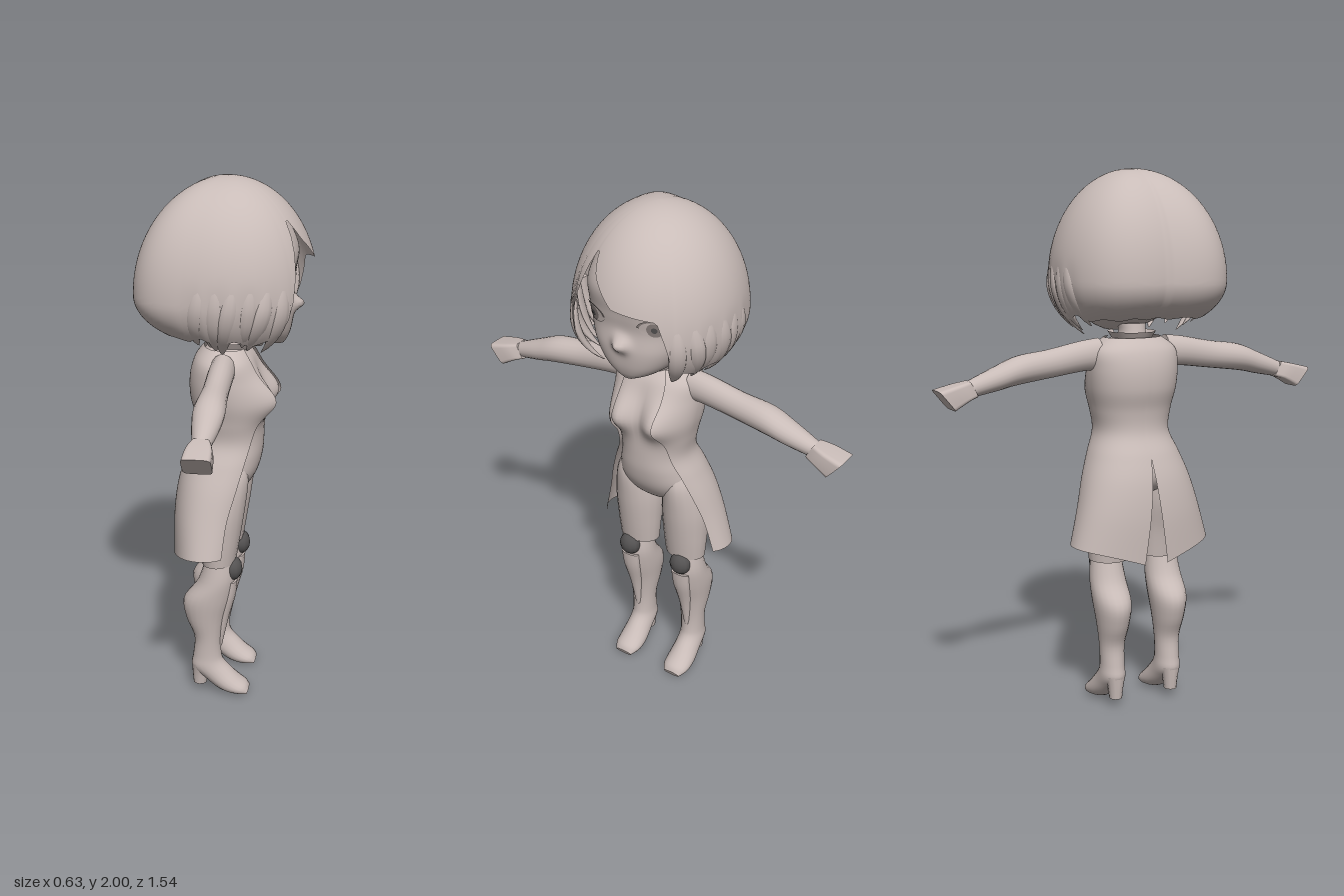
import * as THREE from 'three';

const skin = new THREE.MeshStandardMaterial({ color: 0xc9bcb8, side: THREE.DoubleSide });
skin.name = 'warm grey';
const dark = new THREE.MeshStandardMaterial({ color: 0x555353 });
dark.name = 'dark joint';
const iris = new THREE.MeshStandardMaterial({ color: 0x8a807d, side: THREE.DoubleSide });
iris.name = 'eye grey';

const { PI, sin, cos, abs, pow, sign, acos, exp, min, max } = Math;

// Smooth sampling of a table of rows, t from 0 to 1
function sample(rows, t) {
  const x = t * (rows.length - 1), i = min(Math.floor(x), rows.length - 2), f = x - i;
  const at = (k) => rows[max(0, min(rows.length - 1, k))];
  return at(i).map((b, c) => {
    const a = at(i - 1)[c], d = at(i + 1)[c], e = at(i + 2)[c];
    return b + 0.5 * f * (d - a + f * (2 * a - 5 * b + 4 * d - e + f * (3 * (b - d) + e - a)));
  });
}

// Straight-line lookup in [key, value] pairs
function lookup(table, x) {
  let i = 0;
  while (i < table.length - 2 && x > table[i + 1][0]) i++;
  const [a, b] = [table[i], table[i + 1]];
  return a[1] + (b[1] - a[1]) * (x - a[0]) / (b[0] - a[0]);
}

// Grid surface from fn(u, v); may wrap round in u and have end caps
function surface(fn, nu, nv, closed = true, caps = closed) {
  const pos = [], idx = [], w = closed ? nu : nu + 1;
  for (let j = 0; j <= nv; j++) for (let i = 0; i < w; i++) pos.push(...fn(i / nu, j / nv));
  for (let j = 0; j < nv; j++) for (let i = 0; i < nu; i++) {
    const a = j * w + i, b = j * w + (i + 1) % w, c = a + w, d = b + w;
    idx.push(a, b, c, b, d, c);
  }
  if (caps) for (const j of [0, nv]) {
    const base = pos.length / 3, mid = [0, 0, 0];
    for (let i = 0; i < nu; i++) for (let k = 0; k < 3; k++) {
      const p = pos[(j * w + i) * 3 + k];
      pos.push(p);
      mid[k] += p / nu;
    }
    pos.push(...mid);
    for (let i = 0; i < nu; i++) {
      const a = base + i, b = base + (i + 1) % nu;
      idx.push(...(j ? [a, b, base + nu] : [b, a, base + nu]));
    }
  }
  // Turn faces outward, judged by the signed volume about the centre
  const P = (i) => new THREE.Vector3().fromArray(pos, i * 3), c = new THREE.Vector3();
  for (let i = 0; i < pos.length / 3; i++) c.addScaledVector(P(i), 3 / pos.length);
  let vol = 0;
  for (let k = 0; k < idx.length; k += 3) {
    const [p, q, r] = [0, 1, 2].map((n) => P(idx[k + n]).sub(c));
    vol += p.dot(q.cross(r));
  }
  if (vol < 0) idx.reverse();
  const g = new THREE.BufferGeometry();
  g.setAttribute('position', new THREE.Float32BufferAttribute(pos, 3));
  g.setIndex(idx);
  g.computeVertexNormals();
  return g;
}

// Point on an upright body section: angle 0 faces front, row = y, half width, front z, back z
function section([y, rx, zf, zb], a, n) {
  const s = sin(a), c = cos(a), zc = (zf + zb) / 2, rz = (zf - zb) / 2;
  return [rx * sign(s) * pow(abs(s), 2 / n), y, zc + rz * sign(c) * pow(abs(c), 2 / n)];
}

// Soft forward swellings of the chest and the nose
const swell = (x, y, wx, wy) => exp(-pow(x / wx, 2) - pow(y / wy, 2));
const chest = ([x, y, z]) =>
  [x, y, z + (z > 0 ? 0.066 * swell(abs(x) - 0.085, y - 1.2, 0.065, y > 1.2 ? 0.09 : 0.065) : 0)];
const nose = ([x, y, z]) => [x, y, z + (z > 0.1 ? 0.04 * swell(x, y - 1.553, 0.03, 0.026) : 0)];
const body = (rows, n, nu, nv, shape) =>
  surface((u, v) => shape(section(sample(rows, v), u * 2 * PI, n)), nu, nv);

// Limb through rows of two opposite edge points (a,b)-(c,d) and a half width
const limb = (rows, map, nu = 20, nv = 30) => surface((u, v) => {
  const [a, b, c, d, h] = sample(rows, v), k = 0.5 + 0.5 * cos(u * 2 * PI);
  return map(c + (a - c) * k, d + (b - d) * k, h * sin(u * 2 * PI));
}, nu, nv);

const HEAD = [[1.405, 0.03, 0.205, 0.1], [1.43, 0.09, 0.22, 0], [1.47, 0.14, 0.232, -0.08],
  [1.53, 0.18, 0.238, -0.14], [1.6, 0.205, 0.232, -0.18], [1.66, 0.215, 0.24, -0.2],
  [1.75, 0.21, 0.25, -0.2], [1.85, 0.165, 0.2, -0.17], [1.93, 0.08, 0.1, -0.08]];
const TORSO = [[1.44, 0.05, 0.05, -0.05], [1.395, 0.055, 0.055, -0.06], [1.375, 0.12, 0.07, -0.08],
  [1.34, 0.155, 0.095, -0.11], [1.28, 0.162, 0.112, -0.13], [1.2, 0.158, 0.13, -0.13],
  [1.12, 0.142, 0.135, -0.11], [1.04, 0.132, 0.135, -0.11], [0.97, 0.148, 0.13, -0.14],
  [0.9, 0.162, 0.11, -0.165], [0.84, 0.13, 0.07, -0.14], [0.8, 0.05, 0.02, -0.06]];
// y, half width, front z, back z, front edge angle, gap at the back
const COAT = [[1.39, 0.11, 0.078, -0.085, 0.6, 0], [1.345, 0.165, 0.103, -0.12, 0.5, 0],
  [1.28, 0.173, 0.12, -0.138, 0.5, 0], [1.2, 0.168, 0.138, -0.138, 0.5, 0],
  [1.12, 0.152, 0.145, -0.12, 0.7, 0], [1.04, 0.143, 0.145, -0.12, 0.9, 0],
  [0.96, 0.174, 0.14, -0.155, 1.0, 0], [0.87, 0.208, 0.125, -0.185, 1.05, 0.03],
  [0.76, 0.24, 0.1, -0.2, 1.1, 0.08], [0.63, 0.276, 0.08, -0.2, 1.1, 0.14]];
const ARM = [[0.14, 1.39, 0.13, 1.27, 0.045], [0.22, 1.38, 0.2, 1.27, 0.046],
  [0.34, 1.357, 0.32, 1.255, 0.046], [0.46, 1.34, 0.47, 1.235, 0.055], [0.55, 1.305, 0.54, 1.22, 0.048],
  [0.65, 1.262, 0.62, 1.205, 0.032]];
const HAND = [[0.65, 1.262, 0.62, 1.205, 0.031], [0.7, 1.252, 0.655, 1.193, 0.045], [0.77, 1.235, 0.71, 1.162, 0.05]];
const THIGH = [[0.07, 0.97, -0.11, 0.97, 0.035], [0.09, 0.9, -0.14, 0.9, 0.072], [0.078, 0.78, -0.13, 0.78, 0.092],
  [0.06, 0.66, -0.1, 0.66, 0.088], [0.045, 0.565, -0.085, 0.555, 0.08]];
const SHIN = [[0.04, 0.57, -0.07, 0.57, 0.058], [0.045, 0.5, -0.1, 0.48, 0.068],
  [0.032, 0.42, -0.155, 0.4, 0.07], [0.005, 0.33, -0.145, 0.32, 0.06], [-0.01, 0.24, -0.115, 0.24, 0.048],
  [-0.01, 0.17, -0.12, 0.16, 0.045], [0, 0.135, -0.125, 0.11, 0.048], [0.03, 0.1, -0.085, 0.07, 0.05],
  [0.06, 0.07, -0.02, 0.02, 0.055], [0.09, 0.045, 0.035, 0.004, 0.052], [0.1, 0.025, 0.09, 0.002, 0.036]];
const HEM = [[-PI, 1.465], [-2.2, 1.46], [-0.85, 1.44], [-0.72, 1.52], [-0.62, 1.68], [-0.46, 1.88],
  [-0.3, 1.8], [0.03, 1.715], [0.58, 1.69], [0.68, 1.6], [0.8, 1.45], [2.2, 1.46], [PI, 1.465]];

// Front of the face at x, y
function faceZ(x, y) {
  let lo = 0, hi = 1;
  for (let k = 0; k < 24; k++) {
    const m = (lo + hi) / 2;
    if (sample(HEAD, m)[0] < y) lo = m; else hi = m;
  }
  const [, rx, zf, zb] = sample(HEAD, lo);
  const q = pow(max(0, 1 - pow(abs(x) / rx, 2.6)), 1 / 2.6);
  return (zf + zb) / 2 + q * (zf - zb) / 2;
}

// Hair cap point at angle a and height y: tucked in below the back, pulled out at the back corners, grooved at the sides
const hairAxis = (a, up) => (up ? 0.4 : 0.26 - 0.085 * max(0, -cos(a)));
function hairPoint(a, y, grow = 1) {
  const h = (y - 1.6) / hairAxis(a, y > 1.6), A = abs(a);
  const side = A > 0.85 && A < 2.1 ? min(1, (A - 0.85) * 4, (2.1 - A) * 4) : 0;
  const groove = 0.025 * side * abs(sin(a * 9)) * max(0, min(1, (1.68 - y) * 8));
  const corners = 0.24 * exp(-pow((a + 2.55) / 0.5, 2)) + 0.09 * exp(-pow((a - 2.5) / 0.5, 2));
  const r = Math.sqrt(max(0, 1 - h * h)) * (1 + corners - groove) * grow;
  return [0.306 * r * sin(a), y, (cos(a) > 0 ? 0.322 : 0.287) * r * cos(a)];
}

export function createModel() {
  const model = new THREE.Group();
  const add = (name, geo, mat = skin, p = [0, 0, 0], s = [1, 1, 1]) => {
    const m = new THREE.Mesh(geo, mat);
    m.name = name;
    m.position.set(...p);
    m.scale.set(...s);
    model.add(m);
  };

  add('head', body(HEAD, 2.6, 160, 56, nose));
  add('torso', body(TORSO, 2.2, 64, 60, chest));

  // Hair cap with a parted fringe and a lightly jagged hem
  add('hairCap', surface((u, v) => {
    const a = (u * 2 - 1) * PI, A = abs(a);
    const jag = A > 0.82 ? (A < 2 ? 0.025 : 0.01) * abs(((A * 2.2) % 1) * 2 - 1) : 0;
    const hem = lookup(HEM, a) + jag - 1.6;
    const k = acos(hem / hairAxis(a, hem > 0)) * v;
    return hairPoint(a, 1.6 + cos(k) * hairAxis(a, cos(k) > 0));
  }, 160, 32, true, false));

  for (const s of [-1, 1]) {
    // Tapered locks hanging beside the face
    for (let i = 0; i < 6; i++) {
      const a0 = s * (0.8 + i * 0.2), sweep = s * (i % 2 ? 0.14 : 0.04), bottom = 1.405 + 0.018 * (i % 3);
      add('sideLock', surface((u, v) => {
        const a = a0 + sweep * v, [x, y, z] = hairPoint(a, 1.66 + (bottom - 1.66) * v, 0.97);
        const w = 0.033 * pow(sin(PI * (0.12 + 0.87 * v)), 0.7), p = u * 2 * PI;
        const along = w * cos(p), out = 0.5 * w * sin(p);
        return [x + along * cos(a) + out * sin(a), y, z - along * sin(a) + out * cos(a)];
      }, 10, 14));
    }

    // Eye plates laid on the face
    const plate = (name, mat, r0, rx, ry, lift, from = 0, to = 2 * PI) => add(name, surface((u, v) => {
      const p = from + (to - from) * u, k = r0 + (1 - r0) * v;
      const x = s * 0.125 + rx * k * cos(p), y = 1.632 + ry * k * sin(p);
      return [x, y, faceZ(x, y) + lift];
    }, 28, 2, false), mat);
    plate('eye', skin, 0, 0.055, 0.03, 0.003);
    plate('eyeIris', iris, 0, 0.026, 0.027, 0.005);
    plate('eyePupil', dark, 0, 0.01, 0.011, 0.007);
    plate('upperLash', iris, 0.85, 0.06, 0.036, 0.006, 0.1, PI - 0.1);

    // Open coat with a split tail, and its collar
    add('coatHalf', surface((u, v) => {
      const row = sample(COAT, v), a = row[4] + (PI - row[5] - row[4]) * u;
      const [x, y, z] = chest(section(row, a, 2.2));
      return [s * x, y - 0.065 * pow(u, 3) * pow(v, 6), z];
    }, 36, 56, false));
    add('collarFlap', surface((u, v) => {
      const a = 0.35 + (PI - 0.35) * u, r = 0.062 + 0.026 * v;
      return [s * r * sin(a), 1.365 + 0.045 * v, r * cos(a) * (1 + 0.15 * (1 - u))];
    }, 16, 3, false));

    // Arm, with a blocky mitten hand cut off at a slant
    const armMap = (a, b, h) => [s * a, b, h];
    add('arm', limb(ARM, armMap));
    add('hand', surface((u, v) => {
      const [a, b, c, d, h] = sample(HAND, v), p = u * 2 * PI;
      const k = 0.5 + 0.5 * sign(cos(p)) * pow(abs(cos(p)), 0.35);
      return armMap(c + (a - c) * k, d + (b - d) * k, h * sign(sin(p)) * pow(abs(sin(p)), 0.35));
    }, 24, 6));

    // Legs, knee joints and heeled boots
    const legMap = (z, y, h) => [s * 0.118 + h, y, z];
    add('thigh', limb(THIGH, (z, y, h) => [s * 0.106 + h, y, z]));
    add('boot', limb(SHIN, legMap, 20, 44));
    add('heel', limb([[-0.055, 0.12, -0.126, 0.12, 0.04], [-0.06, 0.08, -0.124, 0.08, 0.03],
      [-0.068, 0.033, -0.12, 0.033, 0.024]], legMap, 12, 8));
    add('shinGuard', limb([[0.052, 0.49, 0.02, 0.49, 0.04], [0.045, 0.42, 0, 0.42, 0.036],
      [0.018, 0.32, -0.03, 0.32, 0.024], [-0.008, 0.2, -0.04, 0.2, 0.012]], legMap, 12, 14));
    add('kneeJoint', new THREE.SphereGeometry(1, 12, 8), dark, [s * 0.118, 0.537, 0.035], [0.044, 0.047, 0.036]);
  }

  // The figure is turned so that its face looks along +x
  model.rotation.y = PI / 2;
  const root = new THREE.Group();
  root.name = 'figure';
  root.add(model);
  return root;
}
